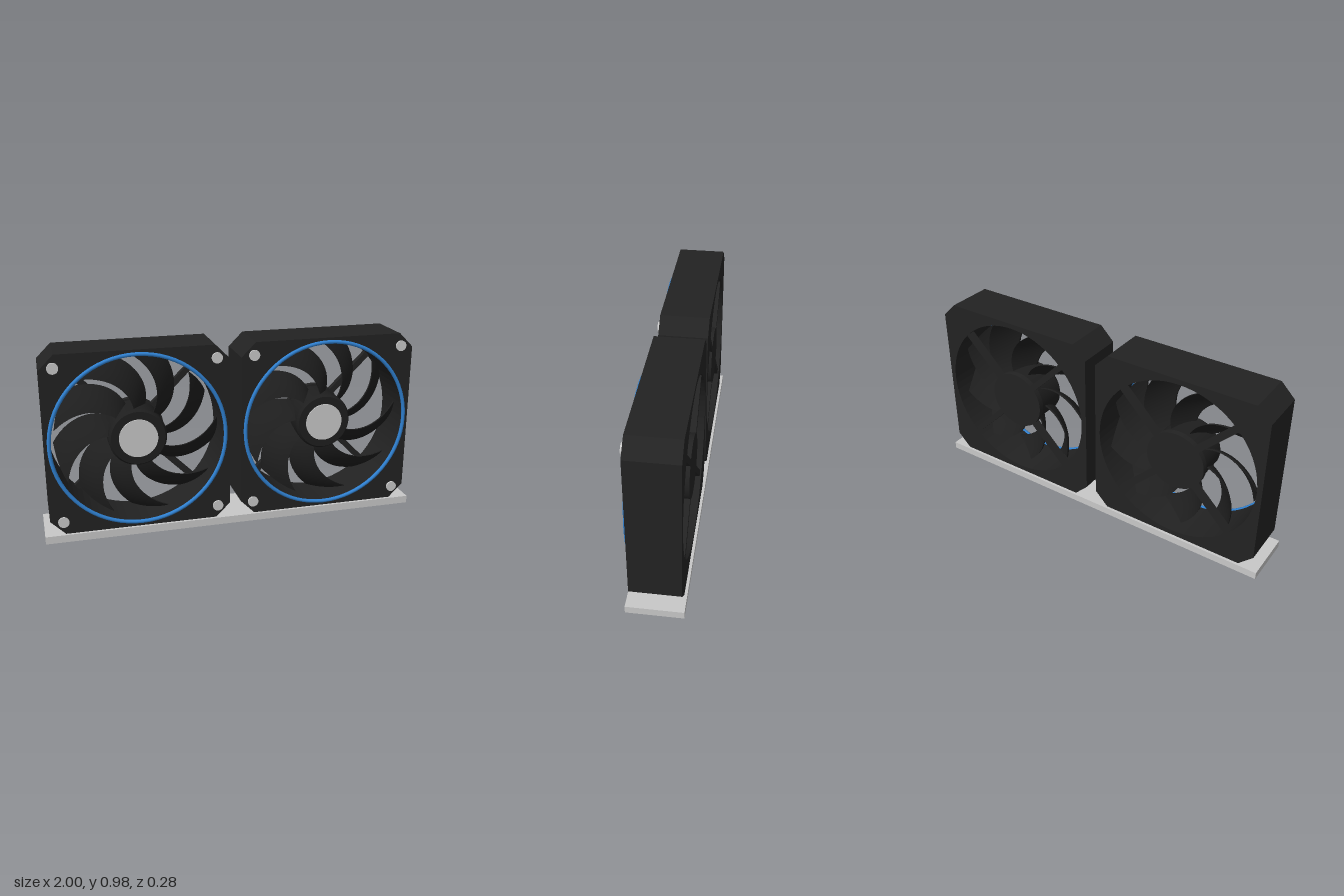
import * as THREE from 'three';

const mat = (name, color) => Object.assign(new THREE.MeshStandardMaterial({ color }), { name });
const frameBlack = mat('frame black', 0x222222);
const rotorBlack = mat('rotor black', 0x1e1e1e);
const accentBlue = mat('accent blue', 0x2f80d0);
const silver = mat('silver', 0xc8c8c8);

const HALF = 0.47, CHAMFER = 0.075, DEPTH = 0.254, BLADES = 9;
const rad = THREE.MathUtils.degToRad;

function add(parent, name, geometry, material, x = 0, y = 0, z = 0) {
  const mesh = new THREE.Mesh(geometry, material);
  mesh.name = name;
  mesh.position.set(x, y, z);
  parent.add(mesh);
  return mesh;
}

// Cylinder lying along z between two depths
function disc(radius, z0, z1, front = radius) {
  return new THREE.CylinderGeometry(front, radius, z1 - z0, 48)
    .rotateX(Math.PI / 2).translate(0, 0, (z0 + z1) / 2);
}

// Square housing with chamfered corners and a round duct
function frameGeometry() {
  const h = HALF, k = HALF - CHAMFER;
  const shape = new THREE.Shape([
    [k, -h], [h, -k], [h, k], [k, h], [-k, h], [-h, k], [-h, -k], [-k, -h],
  ].map(([x, y]) => new THREE.Vector2(x, y)));
  shape.holes.push(new THREE.Path().absarc(0, 0, 0.443, 0, Math.PI * 2, true));
  return new THREE.ExtrudeGeometry(shape, { depth: DEPTH, bevelEnabled: false, curveSegments: 36 })
    .translate(0, 0, -DEPTH / 2);
}

// Swept, pitched and cambered blade bent from a thin box
function bladeGeometry() {
  const g = new THREE.BoxGeometry(1, 1, 1, 14, 1, 8);
  const p = g.attributes.position;
  for (let i = 0; i < p.count; i++) {
    const t = p.getX(i) + 0.5, c = -p.getZ(i);
    const r = 0.135 + 0.287 * t;
    const angle = rad(-40 + 38 * Math.pow(t, 1.4) + c * (30 - 5 * t));
    const z = c * (0.11 + 0.02 * t) + 0.05 * (0.25 - c * c) + p.getY(i) * 0.012;
    p.setXYZ(i, r * Math.cos(angle), r * Math.sin(angle), z);
  }
  g.computeVertexNormals();
  return g;
}

function createFan() {
  const fan = new THREE.Group();
  add(fan, 'frame', frameGeometry(), frameBlack);
  add(fan, 'accentRing', new THREE.TorusGeometry(0.447, 0.01, 10, 72), accentBlue, 0, 0, DEPTH / 2);

  // Corner screws
  for (const x of [-1, 1]) for (const y of [-1, 1])
    add(fan, 'cornerScrew', disc(0.028, 0.12, 0.137), silver, x * 0.403, y * 0.403);

  // Rotor
  const rotor = new THREE.Group();
  rotor.name = 'rotor';
  fan.add(rotor);
  add(rotor, 'hub', disc(0.15, -0.09, 0.075), rotorBlack);
  add(rotor, 'hubBevel', disc(0.15, 0.075, 0.09, 0.14), rotorBlack);
  add(rotor, 'hubCap', disc(0.1, 0.085, 0.097), silver);
  const blade = bladeGeometry();
  for (let i = 0; i < BLADES; i++)
    add(rotor, 'blade', blade, rotorBlack).rotation.z = (i / BLADES) * Math.PI * 2;

  // Rear motor mount and struts
  add(fan, 'motorMount', disc(0.16, -0.12, -0.09), frameBlack);
  const strut = new THREE.BoxGeometry(0.31, 0.032, 0.03).translate(0.295, 0, -0.105);
  for (let i = 0; i < 4; i++)
    add(fan, 'strut', strut, frameBlack).rotation.z = Math.PI / 4 + i * Math.PI / 2;
  return fan;
}

export function createModel() {
  const model = new THREE.Group();
  model.name = 'twinFans';
  add(model, 'base', new THREE.BoxGeometry(2, 0.04, 0.283), silver, 0, 0.02, 0);
  for (const side of [-1, 1]) {
    const fan = createFan();
    fan.name = side < 0 ? 'rightFan' : 'leftFan';
    fan.position.set(side * 0.5, 0.04 + HALF, 0);
    model.add(fan);
  }
  return model;
}
